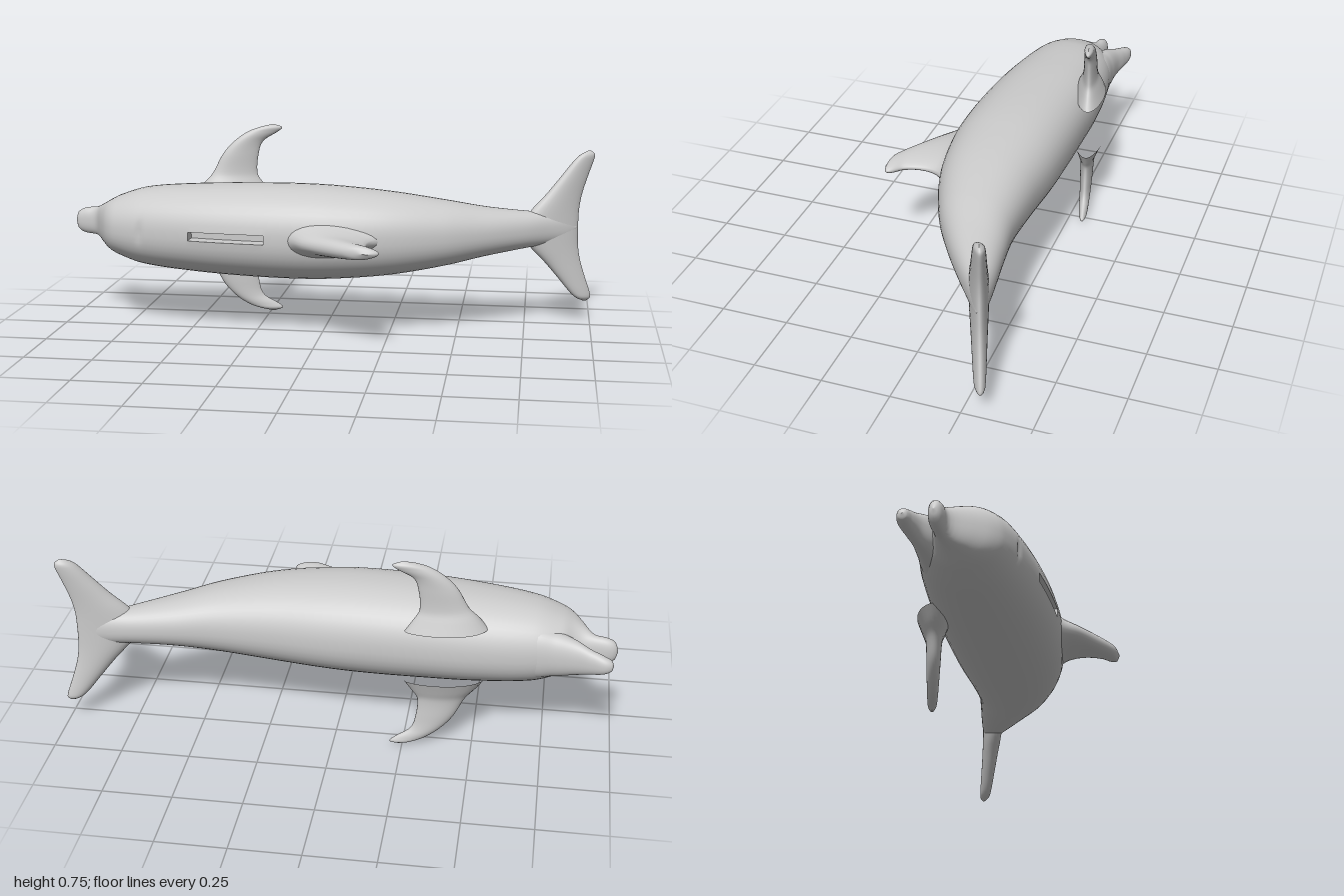
import * as THREE from 'three';

const MID = 0.373; // height of the symmetry plane
const SIDES = 44;
const material = new THREE.MeshStandardMaterial({ color: 0xcccccc });

// Smooth interpolation of all columns of a table keyed by its first column
function sample(table, x) {
  const last = table.length - 1;
  let i = 0;
  while (i < last - 1 && x > table[i + 1][0]) i++;
  const a = table[i], b = table[i + 1], h = b[0] - a[0];
  const p = table[Math.max(i - 1, 0)], q = table[Math.min(i + 2, last)];
  const t = THREE.MathUtils.clamp((x - a[0]) / h, 0, 1);
  return a.slice(1).map((_, c) => {
    const k = c + 1;
    const m0 = (b[k] - p[k]) / (b[0] - p[0]) * h;
    const m1 = (q[k] - a[k]) / (q[0] - a[0]) * h;
    const d = b[k] - a[k];
    return a[k] + t * (m0 + t * (3 * d - 2 * m0 - m1 + t * (m0 + m1 - 2 * d)));
  });
}

// Surface through rows of points; closed rows wrap round, skip() leaves quads out
function skin(name, rows, closed = true, skip = () => false, mat = material) {
  const n = rows[0].length, index = [];
  for (let i = 0; i < rows.length - 1; i++) {
    for (let j = 0; j < (closed ? n : n - 1); j++) {
      if (skip(i, j)) continue;
      const k = (j + 1) % n;
      const a = i * n + j, b = (i + 1) * n + j, c = (i + 1) * n + k, d = i * n + k;
      index.push(a, b, c, a, c, d);
    }
  }
  const geometry = new THREE.BufferGeometry().setFromPoints(rows.flat());
  geometry.setIndex(index);
  geometry.computeVertexNormals();
  const mesh = new THREE.Mesh(geometry, mat);
  mesh.name = name;
  return mesh;
}

// Slightly boxy ring across the body; the first point sits beside the back ridge
function bodyRing(table, x) {
  const [back, belly, half] = sample(table, x);
  const soft = (v) => Math.sign(v) * Math.abs(v) ** 0.88;
  return Array.from({ length: SIDES }, (_, j) => {
    const a = (j + 0.5) / SIDES * Math.PI * 2;
    const y = half * soft(Math.sin(a));
    let z = (back + belly) / 2 + (back - belly) / 2 * soft(Math.cos(a));
    // blowhole dimple
    if (Math.cos(a) > 0) z -= 0.008 * Math.exp(-(((x + 0.69) / 0.012) ** 2) - (y / 0.03) ** 2);
    return new THREE.Vector3(x, MID + y, z);
  });
}

// Fin from [span, leading x, trailing x, half thickness]; place(x, span, offset) sets it in space
function fin(name, table, from, place) {
  const tip = table[table.length - 1][0], start = Math.asin(from / tip), rows = [];
  for (let i = 0; i <= 44; i++) {
    const s = tip * Math.sin(THREE.MathUtils.lerp(start, Math.PI / 2, i / 44));
    const [lead, trail, thick] = sample(table, Math.abs(s));
    rows.push(Array.from({ length: 28 }, (_, j) => {
      const a = j / 28 * Math.PI * 2;
      const x = (lead + trail) / 2 - (trail - lead) / 2 * Math.cos(a);
      return place(x, s, thick * Math.sin(a) * (1 + 0.25 * Math.cos(a)));
    }));
  }
  return skin(name, rows);
}

// Stations: x, back z, belly z, half width
const BODY = [
  [-1, -0.165, -0.167, 0.0], [-0.99, -0.147, -0.182, 0.032], [-0.96, -0.138, -0.19, 0.049],
  [-0.91, -0.125, -0.187, 0.056], [-0.87, -0.055, -0.19, 0.077], [-0.84, -0.005, -0.205, 0.095],
  [-0.8, 0.03, -0.24, 0.115], [-0.7, 0.065, -0.27, 0.146], [-0.5, 0.107, -0.285, 0.165],
  [-0.3, 0.132, -0.283, 0.174], [-0.1, 0.142, -0.278, 0.177], [0.05, 0.137, -0.271, 0.172],
  [0.25, 0.103, -0.256, 0.154], [0.45, 0.03, -0.252, 0.122], [0.6, -0.052, -0.268, 0.092],
  [0.75, -0.15, -0.288, 0.07], [0.84, -0.215, -0.298, 0.06], [0.91, -0.262, -0.302, 0.045],
  [0.94, -0.285, -0.292, 0.0],
];
const JAW = [
  [-0.985, -0.268, -0.272, 0.0], [-0.978, -0.255, -0.286, 0.018], [-0.95, -0.243, -0.293, 0.033],
  [-0.9, -0.222, -0.281, 0.048], [-0.85, -0.19, -0.268, 0.066], [-0.78, -0.16, -0.265, 0.085],
  [-0.68, -0.15, -0.26, 0.09], [-0.64, -0.2, -0.21, 0.0],
];
const FLIPPER = [
  [0.1, -0.54, -0.25, 0.06], [0.145, -0.505, -0.28, 0.042], [0.18, -0.473, -0.3, 0.029],
  [0.26, -0.43, -0.295, 0.024], [0.31, -0.385, -0.275, 0.021], [0.345, -0.335, -0.22, 0.018],
  [0.362, -0.29, -0.205, 0.014], [0.373, -0.245, -0.235, 0],
];
const DORSAL = [
  [0.04, -0.24, 0.3, 0.1], [0.1, -0.17, 0.23, 0.078], [0.14, -0.11, 0.195, 0.055],
  [0.2, -0.05, 0.186, 0.037], [0.265, 0.045, 0.205, 0.03], [0.3, 0.1, 0.24, 0.026],
  [0.32, 0.14, 0.24, 0.02], [0.332, 0.19, 0.205, 0],
];
const FLUKE = [
  [0, 0.72, 0.945, 0.036], [0.07, 0.765, 0.947, 0.033], [0.13, 0.82, 0.957, 0.029],
  [0.2, 0.877, 0.978, 0.025], [0.26, 0.925, 0.998, 0.021], [0.28, 0.948, 1.0, 0.016],
  [0.293, 0.975, 0.985, 0],
];

export function createModel() {
  const model = new THREE.Group();
  model.name = 'dolphin';

  // Body with upper beak, leaving a narrow slot open along the back
  const xs = [-1, -0.9985, -0.995];
  for (let i = 1; i <= 194; i++) xs.push(-1 + i * 0.01);
  const rows = xs.map((x) => bodyRing(BODY, x));
  const inSlot = (x) => x > -0.495 && x < -0.195;
  model.add(skin('body', rows, true,
    (i, j) => j === SIDES - 1 && inSlot(xs[i]) && inSlot(xs[i + 1])));

  // Walls and floor of the slot
  const rims = rows.filter((_, i) => inSlot(xs[i])).map((r) => [r[SIDES - 1], r[0]]);
  const trough = ([l, r], depth) => {
    const down = (p) => p.clone().setZ(p.z - depth);
    return [l, down(l), down(r), r];
  };
  const pocket = [trough(rims[0], 0), ...rims.map((r) => trough(r, 0.06)), trough(rims.at(-1), 0)];
  model.add(skin('coinSlot', pocket, false, undefined,
    new THREE.MeshStandardMaterial({ color: 0xcccccc, side: THREE.DoubleSide, flatShading: true })));

  // Lower jaw
  const jaw = [];
  for (let i = 0; i <= 60; i++) jaw.push(bodyRing(JAW, -0.985 + 0.345 * (i / 60) ** 1.5));
  model.add(skin('lowerJaw', jaw));

  // Mirrored flippers, swept back and tilted
  for (const side of [1, -1]) {
    model.add(fin(side > 0 ? 'upperFlipper' : 'lowerFlipper', FLIPPER, 0.1, (x, s, o) =>
      new THREE.Vector3(x, MID + side * s, -0.255 - 0.2 * (x + 0.48) - side * o)));
  }

  // Dorsal fin
  model.add(fin('dorsalFin', DORSAL, 0.04, (x, s, o) => new THREE.Vector3(x, MID + o, s)));

  // Tail flukes, tip to tip
  model.add(fin('tailFlukes', FLUKE, -0.293, (x, s, o) =>
    new THREE.Vector3(x, MID + s, -0.225 - 0.37 * (x - 0.75) - o)));

  return model;
}
